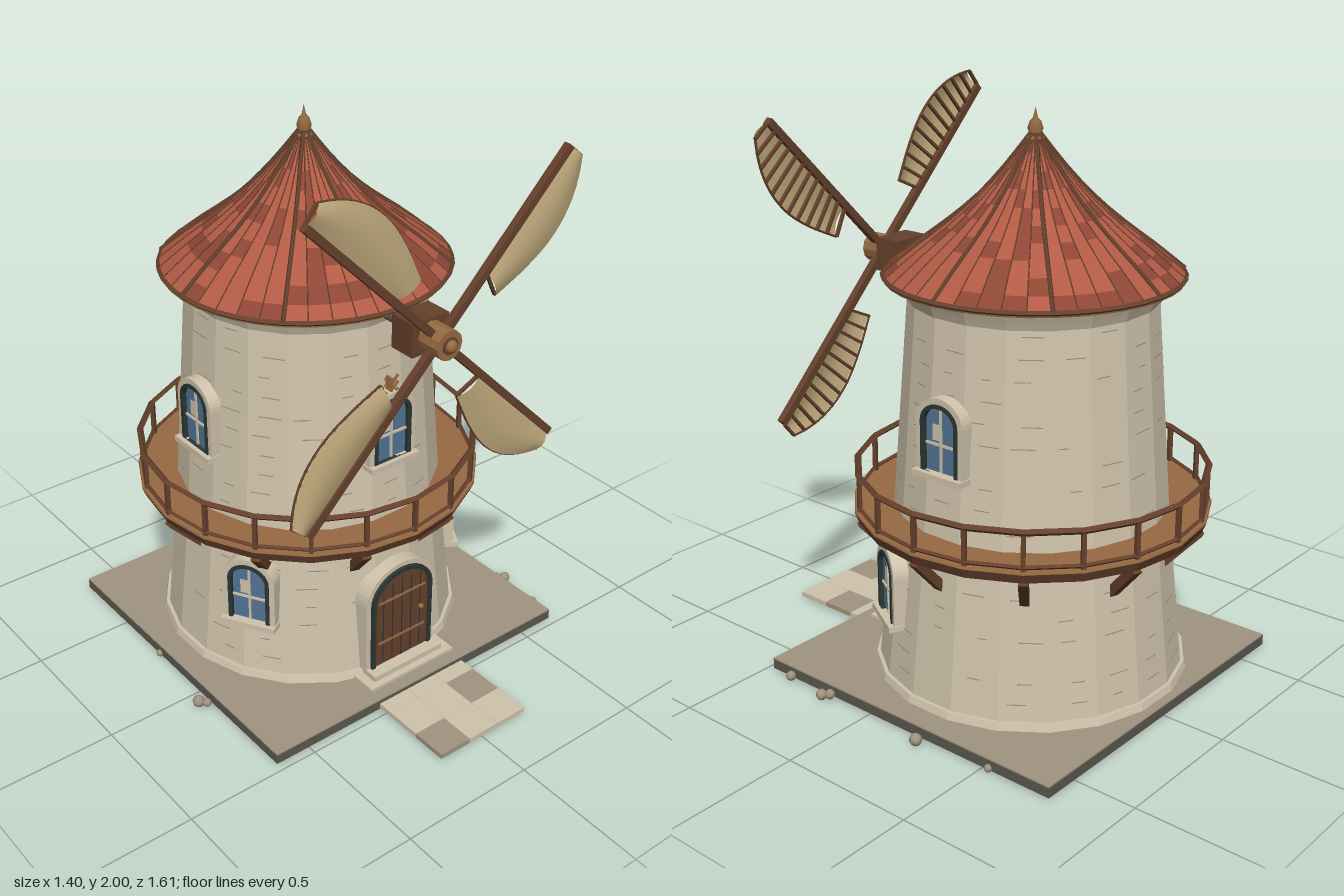
import * as THREE from 'three';
import { mergeGeometries } from 'three/addons/utils/BufferGeometryUtils.js';

const paint = (name, hex, side = THREE.FrontSide) => {
  const m = new THREE.MeshStandardMaterial({ color: hex, side });
  m.name = name;
  return m;
};
const V = (x, y, z) => new THREE.Vector3(x, y, z);

export function createModel() {
  const wall = paint('cream stone', 0xcfc3ab), tan = paint('tan stone', 0xa09480);
  const grey = paint('dark grey stone', 0x5c584f), dark = paint('dark frame', 0x2b3633);
  const red = paint('roof red', 0xb25a45), redDark = paint('dark roof red', 0x8e4635);
  const wood = paint('light wood', 0x966a42), woodDark = paint('dark wood', 0x65402c);
  const cloth = paint('sail cloth', 0xbfa97c, THREE.DoubleSide), glass = paint('window glass', 0x527495);

  const root = new THREE.Group();
  root.name = 'windmill';
  const mill = new THREE.Group();
  mill.name = 'mill';
  mill.position.z = -0.19;
  root.add(mill);

  let seed = 7;
  const rand = () => (seed = (seed * 16807) % 2147483647) / 2147483647;
  const flat = (g) => {
    const f = g.index ? g.toNonIndexed() : g;
    f.computeVertexNormals();
    return f;
  };
  const add = (parent, name, geo, mat) => {
    const m = new THREE.Mesh(geo, mat);
    m.name = name;
    parent.add(m);
    return m;
  };
  const box = (w, h, d, x, y, z) => new THREE.BoxGeometry(w, h, d).translate(x, y, z);
  const drum = (rTop, rBot, y0, y1, n = 20, start = 0) =>
    flat(new THREE.CylinderGeometry(rTop, rBot, y1 - y0, n, 1, false, start).translate(0, (y0 + y1) / 2, 0));
  const beam = (a, b, w, d = w) => {
    const dir = b.clone().sub(a);
    const q = new THREE.Quaternion().setFromUnitVectors(V(0, 1, 0), dir.clone().normalize());
    const mid = a.clone().add(b).multiplyScalar(0.5);
    return new THREE.BoxGeometry(w, dir.length(), d).applyQuaternion(q).translate(mid.x, mid.y, mid.z);
  };
  const polar = (r, a, y) => V(r * Math.sin(a), y, r * Math.cos(a));
  const ring = (r, t, y, n, sides = 4) => flat(new THREE.TorusGeometry(r, t, sides, n).rotateX(Math.PI / 2).translate(0, y, 0));

  // Ground slab, path tiles and pebbles
  add(root, 'slab', box(1.275, 0.036, 1.245, 0, 0.024, -0.15), grey);
  add(root, 'slabTop', box(1.275, 0.005, 1.245, 0, 0.0445, -0.15), tan);
  for (let i = 0; i < 3; i++) for (let j = 0; j < 3; j++) {
    const shaded = (i === 2 && j === 1) || (i === 0 && j === 2);
    add(root, 'pathTile', box(0.127, 0.018, 0.132, (i - 1) * 0.128, 0.02, 0.467 + j * 0.133), shaded ? tan : wall);
  }
  [[-0.68, 0.062, 0.022], [-0.657, 0.08, 0.016], [0.675, -0.25, 0.022], [0.65, 0.175, 0.018], [0.672, 0.193, 0.02],
    [0.65, 0.37, 0.018], [0.64, -0.53, 0.014], [-0.64, -0.255, 0.014]].forEach(([x, z, r]) =>
    add(root, 'pebble', new THREE.SphereGeometry(r, 8, 6).translate(x, r, z), tan));

  // Tower walls, plinth and cornice
  const half = Math.PI / 20;
  add(mill, 'lowerTower', drum(0.478, 0.54, 0.045, 0.64, 20, half), wall);
  add(mill, 'upperTower', drum(0.42, 0.478, 0.64, 1.39, 20, half), wall);
  add(mill, 'plinth', drum(0.55, 0.558, 0.045, 0.072, 20, half), wall);
  add(mill, 'lowerCornice', drum(0.435, 0.425, 1.375, 1.4, 20, half), wall);
  add(mill, 'upperCornice', drum(0.455, 0.435, 1.4, 1.445, 20, half), wall);

  // Mortar dashes on the wall faces
  const radiusAt = (y) => (y < 0.64 ? 0.54 - (y - 0.045) * 0.1042 : 0.478 - (y - 0.64) * 0.0773);
  const dashes = [];
  for (let y = 0.13; y < 1.36; y += 0.072) for (let k = 0; k < 20; k++) {
    if (rand() < 0.4) continue;
    const r = radiusAt(y) * Math.cos(half);
    dashes.push(box(0.03 + rand() * 0.05, 0.003, 0.004, (rand() - 0.5) * 0.05, y, r).rotateY(k * 2 * half));
  }
  add(mill, 'mortarLines', mergeGeometries(dashes), tan);

  // Roof shell: rows of tiles in two reds
  const profile = [[0.505, 1.452], [0.4, 1.537], [0.3, 1.612], [0.2, 1.697], [0.1, 1.803], [0.015, 1.91]];
  const slope = new THREE.CatmullRomCurve3(profile.map(([r, y]) => V(r, y, 0)));
  const N = 40, ROWS = 10;
  const tiles = [[], []];
  for (let j = 0; j < ROWS; j++) {
    const lo = slope.getPointAt(j / ROWS), hi = slope.getPointAt((j + 1) / ROWS);
    for (let k = 0; k < N; k++) {
      const a = (k / N) * Math.PI * 2, b = ((k + 1) / N) * Math.PI * 2;
      const p = [polar(lo.x, a, lo.y), polar(lo.x, b, lo.y), polar(hi.x, b, hi.y), polar(hi.x, a, hi.y)];
      [0, 1, 2, 0, 2, 3].forEach((i, _, all) => { if (_ === 0) all.pick = rand() < 0.35 ? 1 : 0; tiles[all.pick].push(p[i]); });
    }
  }
  tiles.forEach((pts, i) => {
    const g = new THREE.BufferGeometry().setFromPoints(pts);
    g.computeVertexNormals();
    add(mill, 'roofTiles', g, i ? redDark : red);
  });

  // Roof ribs, seams, eave and finial
  for (let k = 0; k < N; k++) {
    const path = new THREE.CatmullRomCurve3(profile.map(([r, y]) => polar(r, (k / N) * Math.PI * 2, y + 0.001)));
    const main = k % 5 === 0;
    add(mill, main ? 'roofRib' : 'roofSeam', new THREE.TubeGeometry(path, 10, main ? 0.008 : 0.0022, 5), woodDark);
  }
  add(mill, 'eaveBoard', drum(0.503, 0.5, 1.44, 1.452, N), wood);
  add(mill, 'eaveRing', ring(0.498, 0.01, 1.452, N), woodDark);
  add(mill, 'finial', new THREE.LatheGeometry([[0, 1.87], [0.036, 1.875], [0.03, 1.9], [0.018, 1.905], [0.026, 1.925],
    [0.018, 1.95], [0.008, 1.96], [0, 1.995]].map(([x, y]) => new THREE.Vector2(x, y)), 10), wood);

  // Balcony: deck, rails, posts and struts
  add(mill, 'deckFrame', drum(0.62, 0.605, 0.61, 0.645), woodDark);
  add(mill, 'deckBoards', drum(0.618, 0.62, 0.645, 0.652), wood);
  add(mill, 'topRail', ring(0.605, 0.012, 0.783, 20), woodDark);
  add(mill, 'bottomRail', ring(0.605, 0.008, 0.664, 20), woodDark);
  for (let k = 0; k < 20; k++) {
    const a = k * 2 * half;
    add(mill, 'railPost', box(0.015, 0.14, 0.015, 0, 0.715, 0.603).rotateY(a), woodDark);
    if (k % 2) add(mill, 'strut', beam(V(0, 0.475, 0.47), V(0, 0.615, 0.6), 0.032).rotateY(a), woodDark);
  }

  // Arched outlines for windows and door
  const arch = (Shape, w, y0, y1) => {
    const s = new Shape(), rise = w * 0.85;
    s.moveTo(-w, y0);
    s.lineTo(w, y0);
    s.lineTo(w, y1 - rise);
    s.absellipse(0, y1 - rise, w, rise, 0, Math.PI, false);
    s.lineTo(-w, y0);
    return s;
  };
  const surround = (w, y0, y1, t, z0, z1) => {
    const s = arch(THREE.Shape, w + t, y0, y1 + t);
    s.holes.push(arch(THREE.Path, w, y0, y1));
    return new THREE.ExtrudeGeometry(s, { depth: z1 - z0, bevelEnabled: false, curveSegments: 10 }).translate(0, 0, z0);
  };
  const panel = (w, y0, y1, z) => new THREE.ShapeGeometry(arch(THREE.Shape, w, y0, y1), 10).translate(0, 0, z);

  const addWindow = (angle, y, r) => {
    const g = new THREE.Group();
    g.name = 'window';
    g.rotation.y = angle;
    mill.add(g);
    add(g, 'windowSurround', surround(0.078, y, y + 0.235, 0.02, r - 0.08, r), wall);
    add(g, 'windowFrame', surround(0.064, y, y + 0.221, 0.014, r - 0.06, r + 0.004), dark);
    add(g, 'windowGlass', panel(0.066, y, y + 0.222, r - 0.012), glass);
    add(g, 'mullion', box(0.008, 0.21, 0.006, 0, y + 0.108, r - 0.009), wall);
    add(g, 'transom', box(0.128, 0.008, 0.006, 0, y + 0.095, r - 0.009), wall);
    add(g, 'glassGlint', box(0.03, 0.055, 0.002, -0.02, y + 0.135, r - 0.01), wall);
    add(g, 'windowSill', box(0.205, 0.02, 0.1, 0, y - 0.01, r - 0.03), wall);
  };
  [0, Math.PI / 2, -Math.PI / 2].forEach((a) => addWindow(a, 0.88, 0.478));
  [Math.PI / 3, -Math.PI / 3].forEach((a) => addWindow(a, 0.285, 0.535));

  // Carved sprig above the front window
  for (let i = 0; i < 3; i++) for (const s of [-1, 1])
    add(mill, 'sprigLeaf', beam(V(0, 1.115 + i * 0.025, 0.465), V(s * 0.028, 1.14 + i * 0.025, 0.465), 0.008), wood);
  add(mill, 'sprigStem', box(0.008, 0.08, 0.03, 0, 1.145, 0.455), wood);

  // Door with planks, hinge bands, knob and steps
  add(mill, 'doorSurround', surround(0.136, 0.07, 0.462, 0.02, 0.45, 0.54), wall);
  add(mill, 'doorFrame', surround(0.12, 0.07, 0.448, 0.016, 0.47, 0.552), dark);
  add(mill, 'door', panel(0.122, 0.07, 0.449, 0.545), woodDark);
  for (let i = -2; i <= 2; i++)
    add(mill, 'plankGap', box(0.003, 0.34 - Math.abs(i) * 0.012, 0.003, i * 0.042, 0.25, 0.546), dark);
  for (const y of [0.175, 0.35]) add(mill, 'hingeBand', box(0.21, 0.008, 0.005, 0, y, 0.547), wood);
  add(mill, 'doorKnob', new THREE.SphereGeometry(0.011, 8, 6).translate(0.085, 0.26, 0.552), wood);
  add(mill, 'upperStep', box(0.31, 0.022, 0.12, 0, 0.068, 0.53), wall);
  add(mill, 'lowerStep', box(0.38, 0.016, 0.15, 0, 0.05, 0.54), wall);

  // Axle, housing and hub
  const rotor = new THREE.Group();
  rotor.name = 'rotor';
  rotor.position.set(0, 1.42, 0.5);
  root.add(rotor);
  const rod = (r, z0, z1, n) => flat(new THREE.CylinderGeometry(r, r, z1 - z0, n).rotateX(Math.PI / 2).translate(0, 0, (z0 + z1) / 2));
  add(rotor, 'axle', rod(0.025, -0.36, -0.12, 10), grey);
  add(rotor, 'axleHousing', box(0.15, 0.118, 0.1, 0, 0, -0.09), woodDark);
  add(rotor, 'hub', rod(0.052, -0.045, 0.05, 12), wood);
  add(rotor, 'hubRing', rod(0.03, 0.05, 0.056, 12), woodDark);
  add(rotor, 'hubCap', new THREE.SphereGeometry(0.023, 10, 8).translate(0, 0, 0.053), wood);

  // Four sails: spar, bulging cloth, rim and back slats
  const rim = new THREE.CatmullRomCurve3([[0.105, 0.225], [0.15, 0.35], [0.174, 0.46], [0.172, 0.55], [0.152, 0.625],
    [0.118, 0.69], [0.078, 0.742]].map(([x, y]) => V(x, y, -0.004)));
  const sparAt = (s) => V(0.01, 0.26 + 0.475 * s, 0);
  const sailGeo = new THREE.PlaneGeometry(1, 1, 8, 16);
  const pos = sailGeo.attributes.position;
  for (let i = 0; i < pos.count; i++) {
    const t = pos.getX(i) + 0.5, s = pos.getY(i) + 0.5;
    const p = sparAt(s).lerp(rim.getPointAt(s), t);
    pos.setXYZ(i, p.x, p.y, 0.003 + 0.014 * Math.sin(Math.PI * t));
  }
  sailGeo.computeVertexNormals();
  const slats = [];
  for (let i = 0; i <= 11; i++) {
    const a = sparAt(i / 11), b = rim.getPointAt(i / 11);
    a.z = b.z = -0.004;
    slats.push(beam(a, b, 0.009, 0.012));
  }
  const slatGeo = mergeGeometries(slats);
  for (let k = 0; k < 4; k++) {
    const blade = new THREE.Group();
    blade.name = 'sail';
    blade.rotation.z = Math.PI / 4 + (k * Math.PI) / 2;
    rotor.add(blade);
    add(blade, 'spar', box(0.026, 0.735, 0.026, 0, 0.3675, 0), woodDark);
    add(blade, 'sailCloth', sailGeo, cloth);
    add(blade, 'sailSlats', slatGeo, woodDark);
    add(blade, 'sailRim', new THREE.TubeGeometry(rim, 20, 0.004, 5), woodDark);
  }
  return root;
}
